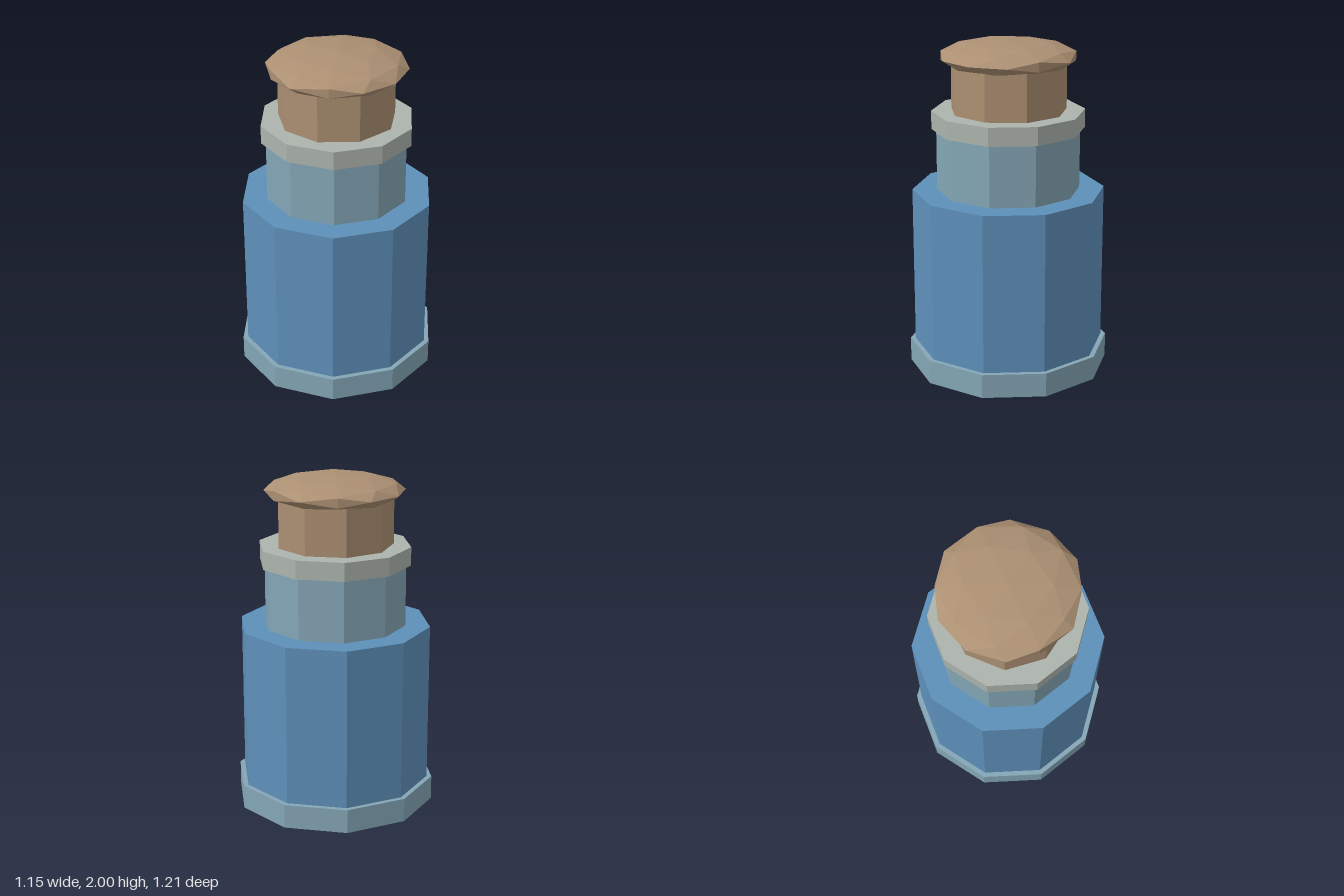
import * as THREE from 'three';

function material(name, color) {
  const m = new THREE.MeshStandardMaterial({ color, flatShading: true });
  m.name = name;
  return m;
}

export function createModel() {
  const group = new THREE.Group();
  group.name = 'bottle';

  const paleBlue = material('pale blue', 0x84a6b6);
  const blue = material('blue', 0x5e90ba);
  const grey = material('warm grey', 0xadb4ad);
  const cork = material('cork brown', 0xac9073);

  // Straight prism standing between two heights
  function prism(name, radius, bottom, top, sides, mat) {
    const mesh = new THREE.Mesh(
      new THREE.CylinderGeometry(radius, radius, top - bottom, sides), mat);
    mesh.name = name;
    mesh.position.y = (bottom + top) / 2;
    group.add(mesh);
    return mesh;
  }

  // Ten-sided bottle, stacked from the ground up
  prism('base', 0.605, 0, 0.145, 10, paleBlue);
  prism('body', 0.575, 0.145, 1.105, 10, blue);
  prism('neck', 0.427, 1.105, 1.475, 10, paleBlue);
  prism('collar', 0.455, 1.475, 1.585, 10, grey);

  // Nine-sided stopper with a flat face to the front
  prism('stopper', 0.348, 1.585, 1.9, 9, cork).rotation.y = Math.PI;

  // Flattened faceted knob on the stopper
  const knobGeometry = new THREE.IcosahedronGeometry(0.415, 1);
  knobGeometry.scale(1, 0.092 / 0.415, 1);
  knobGeometry.computeVertexNormals();
  const knob = new THREE.Mesh(knobGeometry, cork);
  knob.name = 'stopperKnob';
  knob.position.y = 1.908;
  group.add(knob);

  return group;
}
